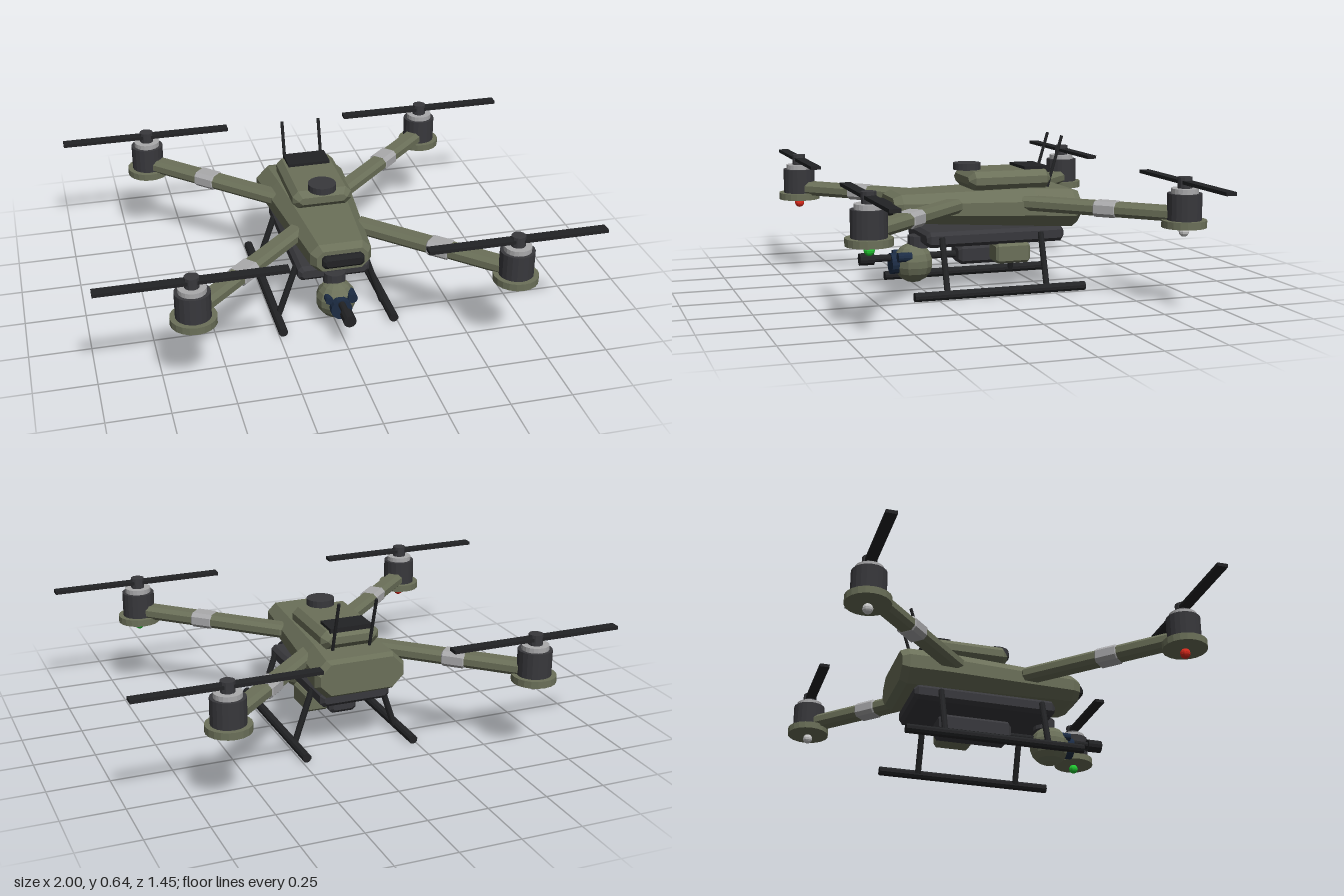
import * as THREE from 'three';

const mat = (color) => new THREE.MeshStandardMaterial({ color, flatShading: true });
const OLIVE = mat(0x6b7059), DARK = mat(0x38383c), BLACK = mat(0x222325), GREY = mat(0xaaaaac),
  LENS = mat(0x1c2c44), GREEN = mat(0x22cc33), RED = mat(0xdd2a1c), WHITE = mat(0xcccccc);

// Loft of chamfered rectangles along z; ring = [z, width, bottom, top, chamfer], back to front.
function loft(rings) {
  const loops = rings.map(([z, w, y0, y1, c]) => {
    const x = w / 2;
    return [[c - x, y0], [x - c, y0], [x, y0 + c], [x, y1 - c], [x - c, y1], [c - x, y1], [-x, y1 - c], [-x, y0 + c]]
      .map(([px, py]) => [px, py, z]);
  });
  const pos = [];
  const tri = (a, b, c) => pos.push(...a, ...b, ...c);
  for (let r = 0; r < loops.length - 1; r++) {
    const a = loops[r], b = loops[r + 1];
    for (let i = 0; i < 8; i++) {
      const j = (i + 1) % 8;
      tri(a[i], a[j], b[j]);
      tri(a[i], b[j], b[i]);
    }
  }
  const back = loops[0], front = loops[loops.length - 1];
  for (let i = 1; i < 7; i++) {
    tri(back[0], back[i + 1], back[i]);
    tri(front[0], front[i], front[i + 1]);
  }
  const g = new THREE.BufferGeometry();
  g.setAttribute('position', new THREE.Float32BufferAttribute(pos, 3));
  g.computeVertexNormals();
  return g;
}

// Box with every edge chamfered, centred on the origin.
function chamferBox(w, h, d, c) {
  const end = (z) => [z, w - 2 * c, c - h / 2, h / 2 - c, c * 0.6];
  const full = (z) => [z, w, -h / 2, h / 2, c];
  return loft([end(-d / 2), full(c - d / 2), full(d / 2 - c), end(d / 2)]);
}

function add(parent, name, geometry, material, x = 0, y = 0, z = 0) {
  const m = new THREE.Mesh(geometry, material);
  m.name = name;
  m.position.set(x, y, z);
  parent.add(m);
  return m;
}

// Cylinder along y between two heights.
function disc(parent, name, r, y0, y1, material, x, z, sides = 20) {
  return add(parent, name, new THREE.CylinderGeometry(r, r, y1 - y0, sides), material, x, (y0 + y1) / 2, z);
}

// Round rod between two points.
function rod(parent, name, a, b, r, material, sides = 10) {
  const p = new THREE.Vector3(...a), q = new THREE.Vector3(...b);
  const m = add(parent, name, new THREE.CylinderGeometry(r, r, p.distanceTo(q), sides), material);
  m.position.copy(p).lerp(q, 0.5);
  m.quaternion.setFromUnitVectors(new THREE.Vector3(0, 1, 0), q.sub(p).normalize());
  return m;
}

// One arm with clamp, motor, propeller and navigation light.
function buildArm(sx, sz) {
  const arm = new THREE.Group();
  arm.name = (sz > 0 ? 'front' : 'rear') + (sx > 0 ? 'Left' : 'Right') + 'Arm';
  const x = 0.635 * sx, z = 0.635 * sz;
  const x0 = 0.12 * sx, z0 = 0.14 * sz;
  const angle = Math.atan2(x - x0, z - z0), length = Math.hypot(x - x0, z - z0);
  add(arm, 'armBeam', chamferBox(0.078, 0.058, length, 0.016), OLIVE, (x + x0) / 2, 0.366, (z + z0) / 2).rotation.y = angle;
  add(arm, 'foldingClamp', chamferBox(0.086, 0.064, 0.115, 0.015), GREY, 0.4 * sx, 0.366, 0.41 * sz).rotation.y = angle;
  disc(arm, 'motorMount', 0.09, 0.316, 0.345, OLIVE, x, z);
  disc(arm, 'motorCan', 0.069, 0.345, 0.45, DARK, x, z);
  disc(arm, 'motorCap', 0.055, 0.45, 0.47, GREY, x, z);
  disc(arm, 'propellerHub', 0.029, 0.47, 0.514, DARK, x, z, 12);
  add(arm, 'propeller', new THREE.BoxGeometry(0.73, 0.014, 0.043), BLACK, x, 0.494, z);
  const light = sz < 0 ? WHITE : sx > 0 ? GREEN : RED;
  add(arm, 'navigationLight', new THREE.SphereGeometry(0.021, 10, 8), light, x, 0.298, z);
  return arm;
}

export function createModel() {
  const model = new THREE.Group();
  model.name = 'quadcopter';

  // Fuselage, tapering towards the nose
  add(model, 'fuselage', loft([
    [-0.395, 0.355, 0.275, 0.405, 0.045],
    [-0.365, 0.385, 0.257, 0.415, 0.05],
    [-0.2, 0.36, 0.265, 0.423, 0.05],
    [0.36, 0.25, 0.297, 0.415, 0.035],
    [0.394, 0.21, 0.312, 0.4, 0.025],
  ]), OLIVE);
  add(model, 'noseWindow', chamferBox(0.17, 0.052, 0.05, 0.012), BLACK, 0, 0.357, 0.395);

  // Equipment on the roof
  add(model, 'roofPod', chamferBox(0.25, 0.078, 0.36, 0.024), OLIVE, 0, 0.459, -0.105);
  add(model, 'roofPanel', new THREE.BoxGeometry(0.18, 0.02, 0.105), BLACK, 0, 0.5, -0.225);
  disc(model, 'satelliteReceiver', 0.058, 0.498, 0.526, DARK, 0, 0.052);
  for (const s of [1, -1])
    rod(model, 'antenna', [0.08 * s, 0.42, -0.278], [0.08 * s, 0.634, -0.342], 0.007, BLACK, 8);

  for (const sx of [1, -1]) for (const sz of [1, -1]) model.add(buildArm(sx, sz));

  // Belly plate and landing gear
  add(model, 'bellyPlate', chamferBox(0.3, 0.064, 0.6, 0.015), DARK, 0, 0.229, -0.032);
  for (const s of [1, -1]) {
    const gear = new THREE.Group();
    gear.name = s > 0 ? 'leftLandingGear' : 'rightLandingGear';
    rod(gear, 'skid', [0.234 * s, 0.019, -0.387], [0.234 * s, 0.019, 0.35], 0.019, BLACK);
    for (const z of [0.207, -0.223])
      rod(gear, 'strut', [0.148 * s, 0.24, z], [0.222 * s, 0.02, z], 0.013, BLACK);
    model.add(gear);
  }

  // Camera turret with lens cluster
  const turret = new THREE.Group();
  turret.name = 'cameraTurret';
  disc(turret, 'turretNeck', 0.046, 0.18, 0.23, DARK, 0, 0.265, 14);
  add(turret, 'turretBall', new THREE.SphereGeometry(0.083, 12, 9), OLIVE, 0, 0.117, 0.288);
  rod(turret, 'mainLens', [0, 0.117, 0.33], [0, 0.117, 0.387], 0.044, LENS, 16);
  rod(turret, 'upperLens', [0.052, 0.15, 0.31], [0.052, 0.15, 0.368], 0.02, LENS, 12);
  rod(turret, 'sideLens', [-0.045, 0.15, 0.31], [-0.045, 0.15, 0.365], 0.016, LENS, 12);
  model.add(turret);

  // Underslung barrel, housing and side box
  const tube = new THREE.Group();
  tube.name = 'barrelAssembly';
  rod(tube, 'barrel', [0, 0.142, 0.08], [0, 0.142, 0.47], 0.015, BLACK, 12);
  rod(tube, 'muzzle', [0, 0.142, 0.458], [0, 0.142, 0.518], 0.026, BLACK, 12);
  add(tube, 'barrelHousing', chamferBox(0.12, 0.08, 0.31, 0.014), DARK, 0, 0.145, -0.05);
  add(tube, 'sideBox', chamferBox(0.1, 0.082, 0.15, 0.01), OLIVE, 0.105, 0.158, -0.102);
  model.add(tube);

  return model;
}
